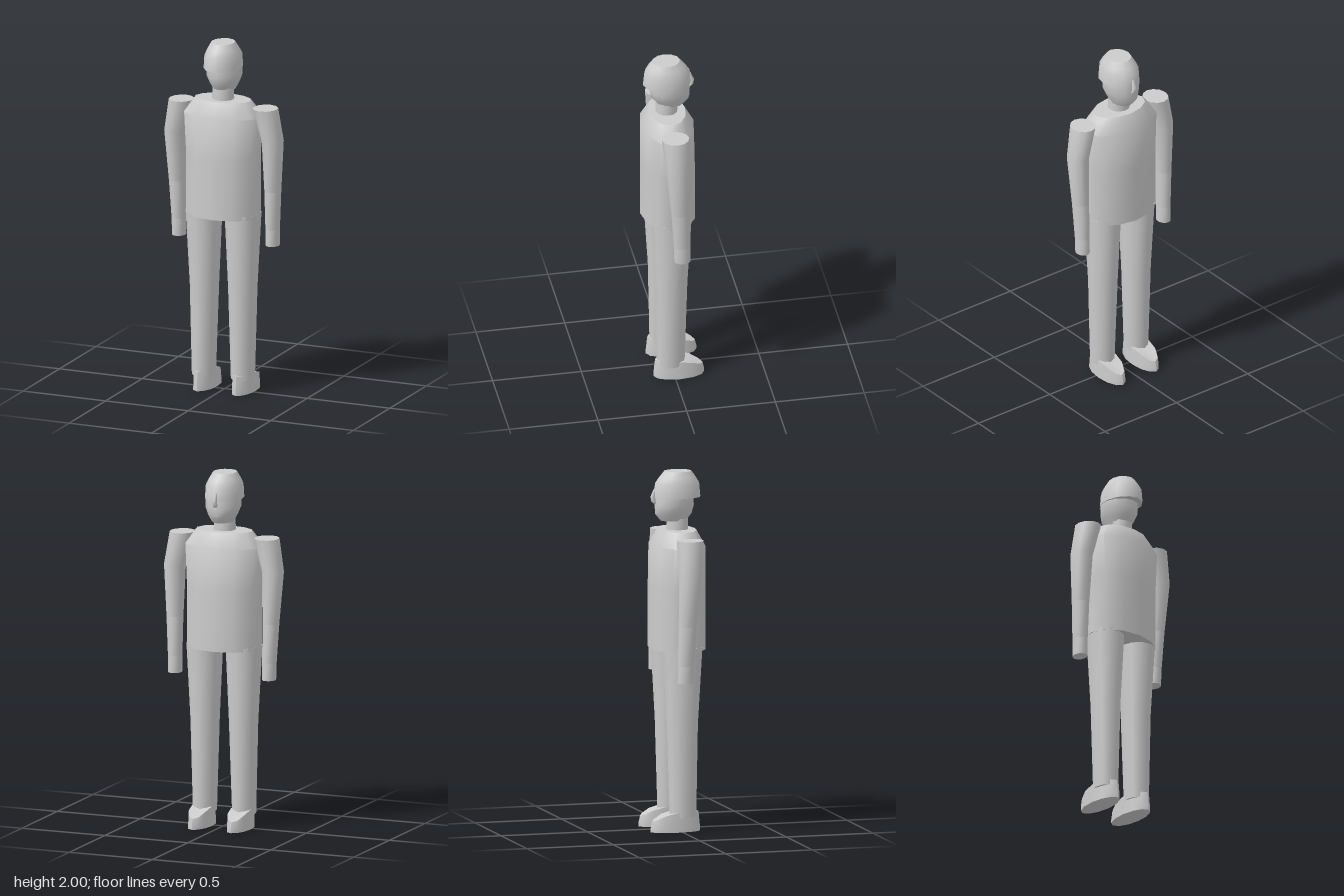
import * as THREE from 'three';
import { toCreasedNormals } from 'three/addons/utils/BufferGeometryUtils.js';

const SIDES = 12;
const grey = new THREE.MeshStandardMaterial({ color: 0xcccccc });
grey.name = 'plain grey';

// Closed stack of elliptical rings, bottom to top: [y, centreX, centreZ, radiusX, radiusZ]
function loft(name, rings, adjustY = (y) => y) {
  const pos = [], idx = [];
  const point = (x, y, z) => pos.push(x, adjustY(y, z), z);
  for (const [y, cx, cz, rx, rz] of rings) {
    for (let i = 0; i < SIDES; i++) {
      const a = (i / SIDES) * Math.PI * 2;
      point(cx + Math.sin(a) * rx, y, cz + Math.cos(a) * rz);
    }
  }
  const last = (rings.length - 1) * SIDES;
  const bottom = rings.length * SIDES, top = bottom + 1;
  for (const r of [rings[0], rings[rings.length - 1]]) point(r[1], r[0], r[2]);
  for (let i = 0; i < SIDES; i++) {
    const j = (i + 1) % SIDES;
    for (let r = 0; r < last; r += SIDES) {
      idx.push(r + i, r + j, r + SIDES + j, r + i, r + SIDES + j, r + SIDES + i);
    }
    idx.push(bottom, j, i, top, last + i, last + j);
  }
  const geo = new THREE.BufferGeometry();
  geo.setAttribute('position', new THREE.Float32BufferAttribute(pos, 3));
  geo.setIndex(idx);
  const mesh = new THREE.Mesh(toCreasedNormals(geo, 0.8), grey);
  mesh.name = name;
  return mesh;
}

export function createModel() {
  const model = new THREE.Group();
  model.name = 'standingFigure';

  // Torso with sloping shoulders
  model.add(loft('torso', [
    [1.01, 0, 0.015, 0.222, 0.155],
    [1.35, 0, 0.015, 0.222, 0.154],
    [1.59, 0, 0.018, 0.236, 0.15],
    [1.675, 0, 0.018, 0.165, 0.103],
  ]));

  // Neck, face and overhanging hair; the face looks toward -z
  model.add(loft('neck', [
    [1.66, 0, 0.02, 0.062, 0.062],
    [1.76, 0, 0.02, 0.06, 0.06],
  ]));
  model.add(loft('head', [
    [1.725, 0, -0.003, 0.058, 0.075],
    [1.765, 0, -0.003, 0.078, 0.107],
    [1.81, 0, 0.002, 0.098, 0.113],
    [1.9, 0, 0.002, 0.098, 0.11],
    [1.95, 0, 0.005, 0.08, 0.09],
  ]));
  model.add(loft('hair', [
    [1.855, 0, 0.018, 0.104, 0.135],
    [1.93, 0, 0.018, 0.1, 0.128],
    [1.965, 0, 0.02, 0.085, 0.105],
    [2.0, 0, 0.022, 0.066, 0.077],
  ]));
  model.add(loft('nose', [
    [1.822, 0, -0.108, 0.012, 0.01],
    [1.835, 0, -0.118, 0.013, 0.014],
    [1.862, 0, -0.12, 0.012, 0.015],
    [1.905, 0, -0.108, 0.007, 0.008],
  ]));

  for (const s of [1, -1]) {
    const side = s > 0 ? 'left' : 'right';

    // Arm: upper arm, forearm and hand share their joint rings
    const wrist = [0.95, s * 0.284, -0.015, 0.039, 0.047];
    const elbow = [1.17, s * 0.289, -0.006, 0.046, 0.053];
    const arm = new THREE.Group();
    arm.name = side + 'Arm';
    arm.add(
      loft('hand', [[0.853, s * 0.283, -0.017, 0.038, 0.046], wrist]),
      loft('forearm', [wrist, elbow]),
      loft('upperArm', [
        elbow,
        [1.46, s * 0.295, 0.009, 0.06, 0.068],
        [1.645, s * 0.254, 0.017, 0.07, 0.077],
      ]),
    );
    model.add(arm);

    // Leg
    model.add(loft(side + 'Leg', [
      [0.08, s * 0.118, 0.017, 0.065, 0.077],
      [0.6, s * 0.116, 0.014, 0.08, 0.09],
      [1.03, s * 0.118, 0.015, 0.1, 0.115],
    ]));

    // Shoe: the top slopes down over the toes
    model.add(loft(side + 'Shoe', [
      [0, s * 0.117, -0.027, 0.061, 0.143],
      [0.02, s * 0.117, -0.027, 0.061, 0.143],
      [0.11, s * 0.117, -0.027, 0.059, 0.134],
    ], (y, z) => (y > 0.05 ? Math.min(y, y + (z + 0.06) * 0.5) : y)));
  }
  return model;
}
